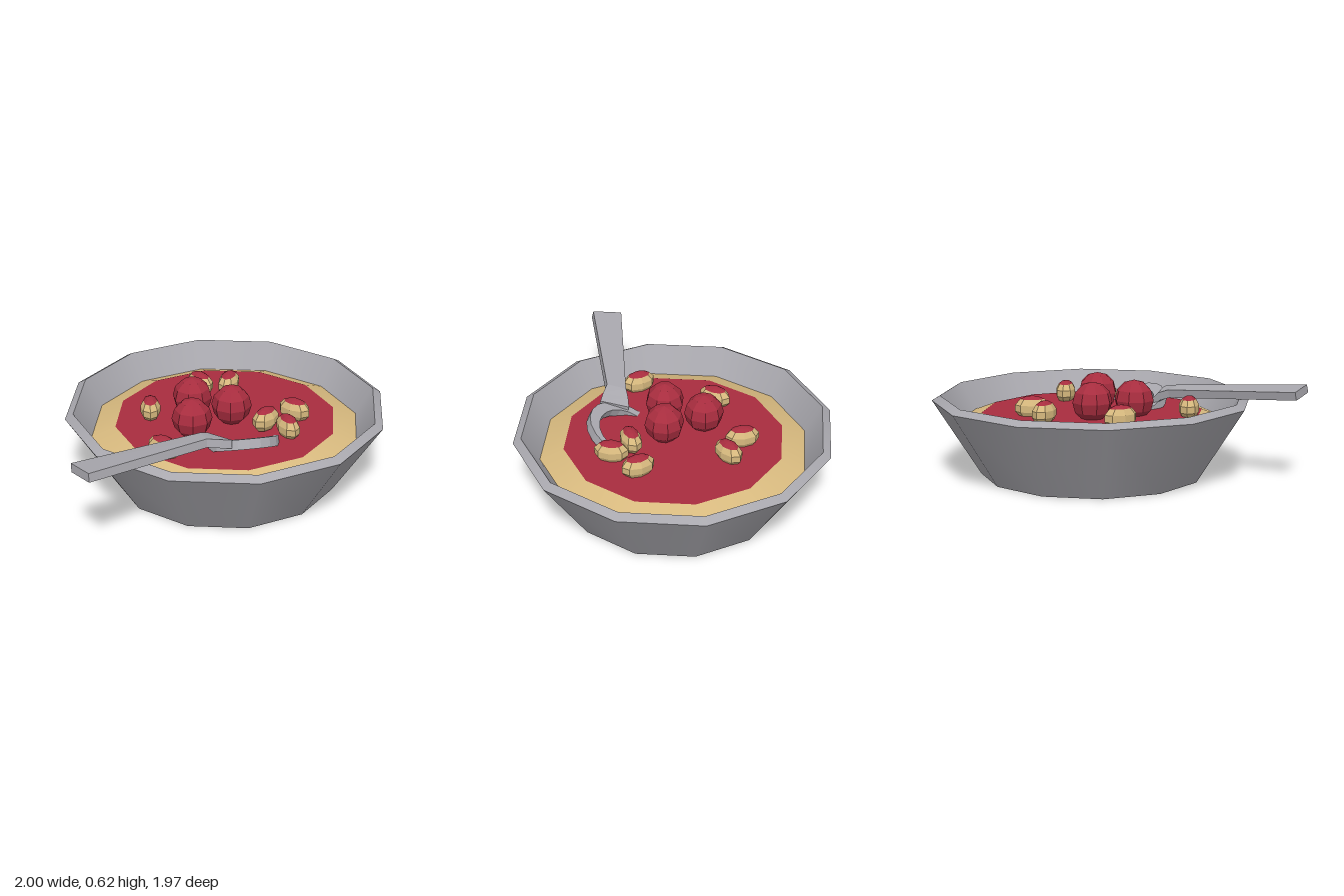
import * as THREE from 'three';

export function createModel() {
  const model = new THREE.Group();
  const mat = (name, color) => {
    const m = new THREE.MeshStandardMaterial({ color });
    m.name = name;
    return m;
  };
  const metal = mat('greyMetal', 0xa9a8ae);
  const red = mat('tomatoRed', 0xa82d3f);
  const cream = mat('pastaCream', 0xd8ba7f);

  const add = (parent, name, geometry, material) => {
    const mesh = new THREE.Mesh(geometry, material);
    mesh.name = name;
    parent.add(mesh);
    return mesh;
  };
  const flat = (g) => {
    const out = g.index ? g.toNonIndexed() : g;
    out.computeVertexNormals();
    return out;
  };
  // Twelve-sided band between two profile points, smooth around and crisp at its ends
  const band = (r0, y0, r1, y1) =>
    new THREE.LatheGeometry([new THREE.Vector2(r0, y0), new THREE.Vector2(r1, y1)], 12);

  // Dish and its filling
  const dish = new THREE.Group();
  dish.name = 'dish';
  dish.position.x = 0.015;
  model.add(dish);
  add(dish, 'dishBase', band(0, 0, 0.69, 0), metal);
  add(dish, 'dishOuterWall', band(0.69, 0, 0.985, 0.465), metal);
  add(dish, 'dishRim', band(0.985, 0.465, 0.935, 0.495), metal);
  add(dish, 'dishInnerWall', band(0.935, 0.495, 0.825, 0.32), metal);
  add(dish, 'pastaEdge', band(0.83, 0.328, 0.683, 0.385), cream);
  add(dish, 'sauce', band(0.683, 0.385, 0, 0.385), red);

  // Meatballs
  const ball = flat(new THREE.SphereGeometry(0.123, 8, 6));
  [[-0.17, 0.482, -0.13], [0.04, 0.495, 0.055], [-0.22, 0.475, 0.145]].forEach((p, i) => {
    const m = add(model, 'meatball', ball, red);
    m.position.set(...p);
    m.rotation.y = 0.4 + i * 0.13;
  });

  // Pasta pieces: cream sides with a sauce-covered top
  const piece = (t0, t1, rows) =>
    flat(new THREE.SphereGeometry(1, 8, rows, 0, Math.PI * 2, t0, t1 - t0).scale(0.108, 0.075, 0.064));
  const pieceTop = piece(0, 0.75, 2);
  const pieceSide = piece(0.75, 2.4, 3);
  // x, z, height, long axis direction
  [
    [-0.07, -0.41, 0.43, 0.5, 0.85],
    [0.11, -0.38, 0.43, 0.5, -0.85],
    [-0.435, -0.115, 0.43, 0.15, -1],
    [0.43, 0.08, 0.435, 0.75, 0.75],
    [0.22, 0.205, 0.455, 0.8, -0.7],
    [0.34, 0.285, 0.43, 0.2, 1],
    [-0.435, 0.4, 0.43, 0.75, 0.75],
  ].forEach(([x, z, y, dx, dz]) => {
    const g = new THREE.Group();
    g.name = 'pastaPiece';
    g.position.set(x, y, z);
    g.rotation.y = Math.atan2(-dz, dx);
    add(g, 'pieceTop', pieceTop, red);
    add(g, 'pieceSide', pieceSide, cream);
    model.add(g);
  });

  // Spoon
  const spoon = new THREE.Group();
  spoon.name = 'spoon';
  model.add(spoon);

  // Spoon head: oval ring tilted so its far side sinks into the sauce
  const oval = new THREE.Shape().absellipse(0, 0, 0.222, 0.248, 0, Math.PI * 2);
  oval.holes.push(new THREE.Path().absellipse(0.01, 0, 0.182, 0.175, 0, Math.PI * 2, true));
  const head = new THREE.ExtrudeGeometry(oval, { depth: 0.06, bevelEnabled: false, curveSegments: 10 });
  head.rotateX(Math.PI / 2);
  head.rotateX(-0.47);
  add(spoon, 'spoonHead', head, metal).position.set(0.05, 0.388, 0.3);

  // Handle: slightly twisted bar through back and front corner pairs
  const sections = [
    [[-1, 0.572, 0.74], [-0.92, 0.592, 0.91]],
    [[-0.22, 0.508, 0.405], [-0.2, 0.528, 0.525]],
    [[-0.165, 0.485, 0.37], [-0.12, 0.512, 0.52]],
    [[-0.125, 0.44, 0.35], [-0.05, 0.498, 0.51]],
  ];
  const drop = (p) => [p[0], p[1] - 0.05, p[2] + 0.012];
  const loops = sections.map(([b, f]) => [b, f, drop(f), drop(b)]);
  const pos = [];
  const quad = (a, b, c, d) => pos.push(...a, ...b, ...c, ...a, ...c, ...d);
  for (let i = 0; i < loops.length - 1; i++) {
    for (let k = 0; k < 4; k++) {
      const n = (k + 1) % 4;
      quad(loops[i][k], loops[i][n], loops[i + 1][n], loops[i + 1][k]);
    }
  }
  const [first, last] = [loops[0], loops[loops.length - 1]];
  quad(first[3], first[2], first[1], first[0]);
  quad(...last);
  const handle = new THREE.BufferGeometry();
  handle.setAttribute('position', new THREE.Float32BufferAttribute(pos, 3));
  handle.computeVertexNormals();
  add(spoon, 'spoonHandle', handle, metal);

  return model;
}
